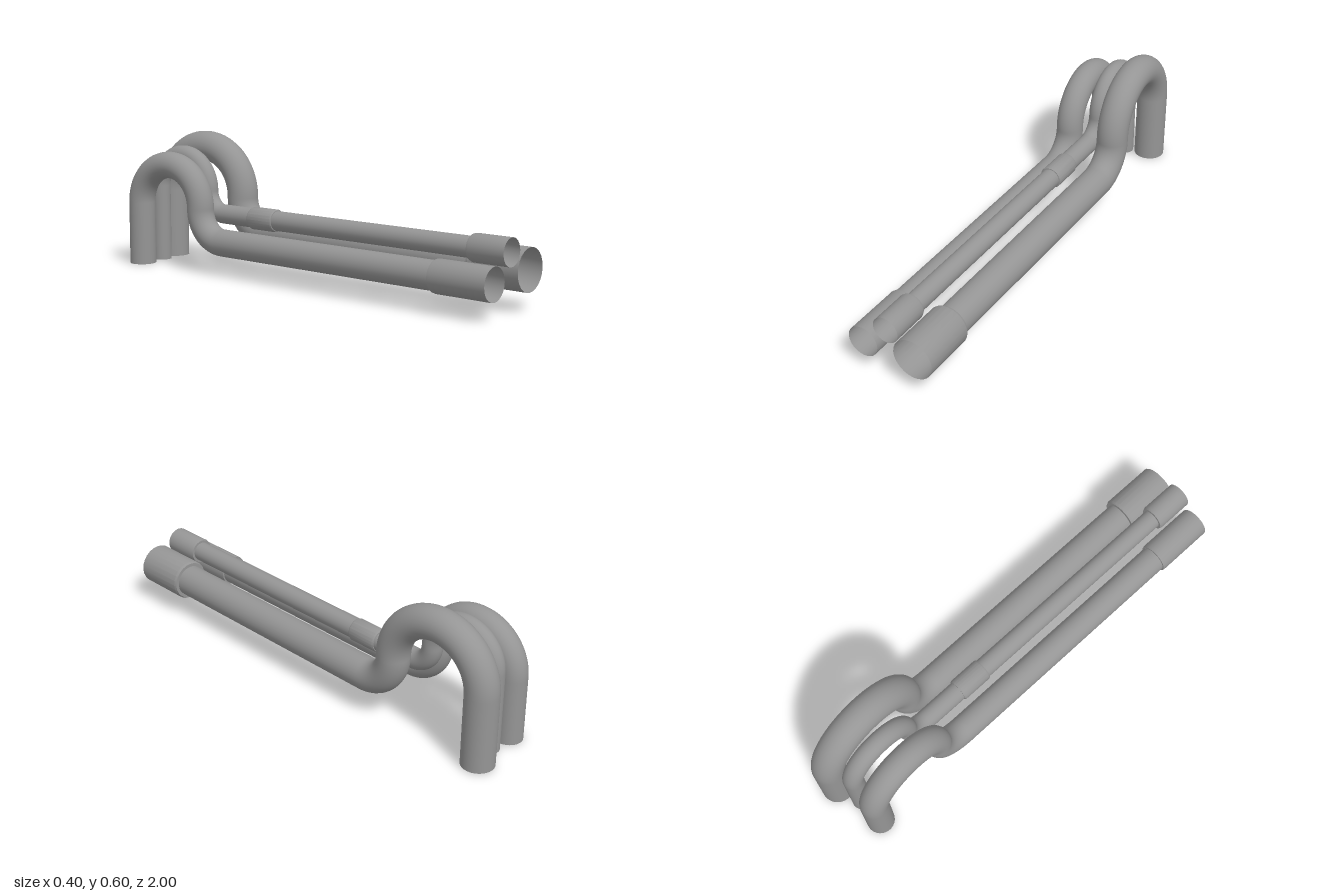
import * as THREE from 'three';
import { toCreasedNormals } from 'three/addons/utils/BufferGeometryUtils.js';

const material = new THREE.MeshStandardMaterial({ color: 0x959595, side: THREE.DoubleSide });

// Each pipe: radius r, axis (x, y), socket, bend positions and tail
const PIPES = [
  { name: 'largePipe', r: 0.0685, x: 0.113, y: 0.163, riseZ: -0.504, tailX: 0.088, tailZ: -0.931,
    elbow: 0.145, apex: 0.527, bottom: 0.005, socketR: 0.0875, socketBack: 0.76, socketFront: 1.0 },
  { name: 'smallPipe', r: 0.0425, x: -0.009, y: 0.2455, riseZ: -0.597, tailX: -0.024, tailZ: -0.893,
    elbow: 0.098, apex: 0.493, bottom: 0.003, socketR: 0.0565, socketBack: 0.825, socketFront: 0.995,
    coupling: [-0.32, -0.18, 0.049] },
  { name: 'mediumPipe', r: 0.059, x: -0.121, y: 0.1405, riseZ: -0.535, tailX: -0.141, tailZ: -0.893,
    elbow: 0.135, apex: 0.458, bottom: 0, socketR: 0.0675, socketBack: 0.735, socketFront: 0.995 },
];

// Arc in the z-y plane whose x drifts along with z
class BendCurve extends THREE.Curve {
  constructor(cz, cy, radius, a0, a1, xAt) {
    super();
    Object.assign(this, { cz, cy, radius, a0, a1, xAt });
  }
  getPoint(t, target = new THREE.Vector3()) {
    const a = this.a0 + (this.a1 - this.a0) * t;
    const z = this.cz + this.radius * Math.cos(a);
    return target.set(this.xAt(z), this.cy + this.radius * Math.sin(a), z);
  }
}

// Straight run, elbow up, half-circle arch, then vertical tail
function pipePath(p) {
  const v = (x, y, z) => new THREE.Vector3(x, y, z);
  const archR = (p.riseZ - p.tailZ) / 2;
  const archY = p.apex - archR;
  const elbowZ = p.riseZ + p.elbow;
  const elbowTop = p.y + p.elbow;
  const xAt = z => p.x + (p.tailX - p.x) * THREE.MathUtils.clamp((p.riseZ - z) / (2 * archR), 0, 1);
  const path = new THREE.CurvePath();
  path.add(new THREE.LineCurve3(v(p.x, p.y, p.socketBack), v(p.x, p.y, elbowZ)));
  path.add(new BendCurve(elbowZ, elbowTop, p.elbow, -Math.PI / 2, -Math.PI, xAt));
  path.add(new THREE.LineCurve3(v(p.x, elbowTop, p.riseZ), v(p.x, archY, p.riseZ)));
  path.add(new BendCurve(p.riseZ - archR, archY, archR, 0, Math.PI, xAt));
  path.add(new THREE.LineCurve3(v(p.tailX, archY, p.tailZ), v(p.tailX, p.bottom, p.tailZ)));
  path.arcLengthDivisions = 800;
  return path;
}

// Turned sleeve along z from [radius, z] pairs
function sleeve(name, p, profile) {
  const geometry = new THREE.LatheGeometry(profile.map(([r, z]) => new THREE.Vector2(r, z)), 24);
  geometry.rotateX(Math.PI / 2);
  const mesh = new THREE.Mesh(toCreasedNormals(geometry, 0.5), material);
  mesh.name = name;
  mesh.position.set(p.x, p.y, 0);
  return mesh;
}

export function createModel() {
  const model = new THREE.Group();
  model.name = 'pipes';
  for (const p of PIPES) {
    const group = new THREE.Group();
    group.name = p.name;

    const tube = new THREE.Mesh(new THREE.TubeGeometry(pipePath(p), 180, p.r, 28), material);
    tube.name = 'bentTube';
    group.add(tube);

    // Open socket with a chamfered shoulder
    const lip = (p.socketR - p.r) * 0.25;
    group.add(sleeve('socket', p, [
      [p.r, p.socketBack], [p.socketR - lip, p.socketBack],
      [p.socketR, p.socketBack + 0.01], [p.socketR, p.socketFront],
    ]));

    // Coupling collar on the straight run
    if (p.coupling) {
      const [z0, z1, r] = p.coupling;
      group.add(sleeve('coupling', p, [
        [p.r, z0], [r - 0.003, z0], [r, z0 + 0.006], [r, z1 - 0.006], [r - 0.003, z1], [p.r, z1],
      ]));
    }
    model.add(group);
  }
  return model;
}
